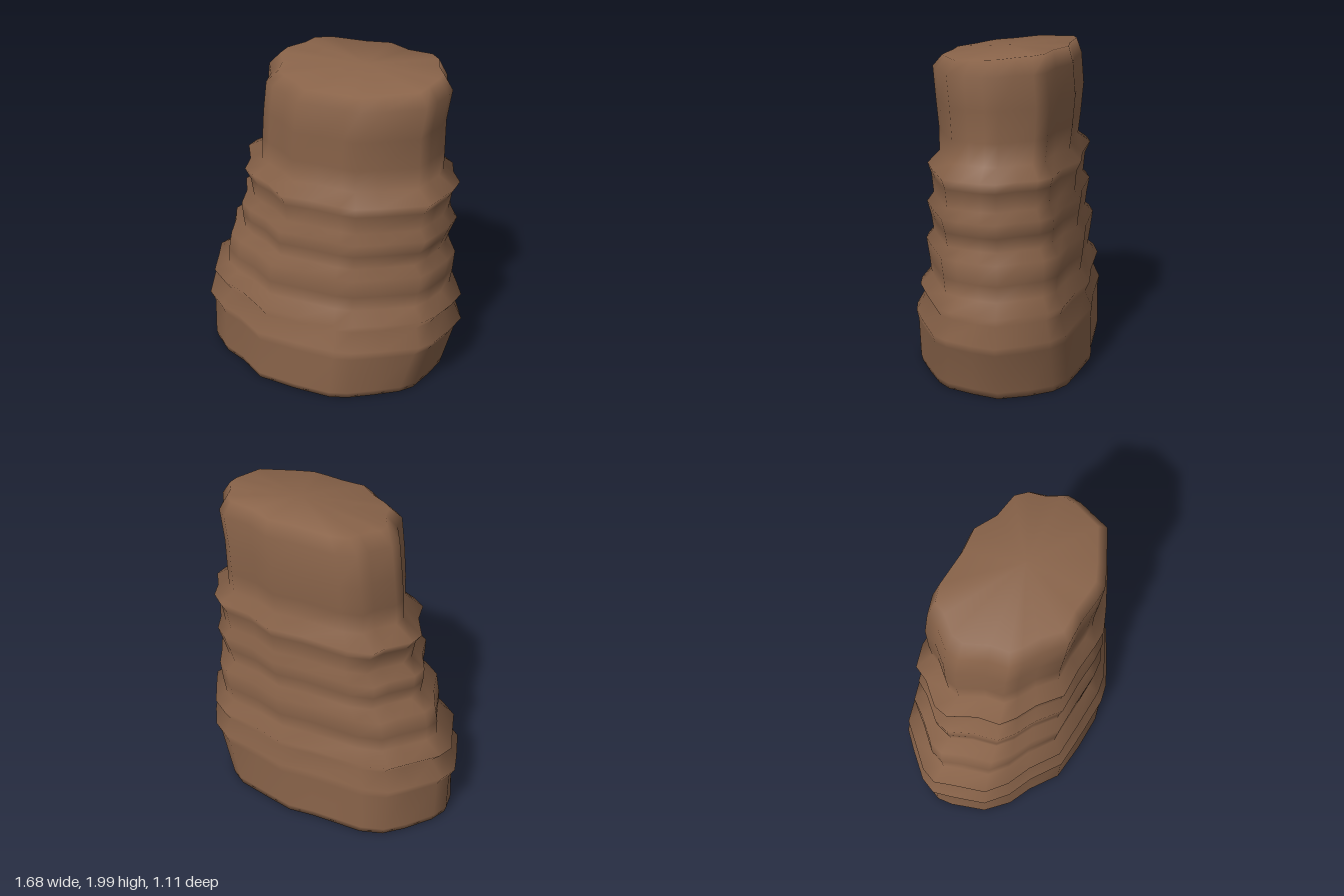
import * as THREE from 'three';

// Plan outlines (x, z pairs), counterclockwise seen from above
const BASE = [.84, 0, .78, -.18, .70, -.32, .60, -.40, .38, -.47, .18, -.53, 0, -.53, -.35, -.56,
  -.5, -.53, -.63, -.44, -.78, -.30, -.84, -.20, -.84, -.10, -.78, .12, -.65, .26, -.5, .34,
  -.32, .48, -.05, .53, .2, .555, .32, .53, .48, .46, .64, .38, .72, .31, .79, .15];
const TOP = [.71, 0, .66, -.1, .64, -.2, .58, -.27, .41, -.31, .27, -.40, .1, -.40, -.15, -.435,
  -.27, -.41, -.31, -.33, -.41, -.23, -.43, -.15, -.37, 0, -.36, .12, -.30, .18, -.2, .25,
  -.1, .36, .05, .37, .2, .40, .28, .41, .4, .37, .62, .28, .66, .18, .70, .08];

// Ledges of the rock: y, xMin, xMax, zMin, zMax
const RINGS = [
  [0, -.80, .72, -.545, .54], [.04, -.81, .73, -.55, .55], [.3, -.81, .80, -.545, .55],
  [.36, -.845, .84, -.555, .56], [.47, -.76, .785, -.51, .50], [.53, -.815, .83, -.54, .53],
  [.6, -.71, .75, -.475, .46], [.7, -.71, .765, -.49, .47], [.825, -.69, .775, -.505, .485],
  [.88, -.59, .71, -.455, .44], [.97, -.605, .74, -.465, .45], [1.06, -.61, .775, -.48, .47],
  [1.115, -.525, .72, -.44, .43], [1.23, -.545, .74, -.45, .44], [1.295, -.585, .78, -.48, .46],
  [1.365, -.465, .68, -.405, .39], [1.5, -.465, .68, -.42, .39], [1.68, -.45, .68, -.435, .405],
  [1.87, -.425, .71, -.42, .415], [1.935, -.35, .65, -.39, .36]];

// Rescale an outline so both axes run from 0 to 1
function unit(outline) {
  const xs = outline.filter((_, i) => i % 2 === 0), zs = outline.filter((_, i) => i % 2);
  const x0 = Math.min(...xs), x1 = Math.max(...xs), z0 = Math.min(...zs), z1 = Math.max(...zs);
  return xs.map((x, i) => [(x - x0) / (x1 - x0), (zs[i] - z0) / (z1 - z0)]);
}

export function createModel() {
  const brown = new THREE.MeshStandardMaterial({ color: 0x8a644a });
  brown.name = 'brown rock';
  const base = unit(BASE), top = unit(TOP), n = base.length;
  const positions = [], index = [];

  // Cross-sections blend from the base outline to the top outline
  RINGS.forEach(([y, x0, x1, z0, z1], r) => {
    const t = Math.min(1, y / 1.37), last = r === RINGS.length - 1;
    for (let i = 0; i < n; i++) {
      const u = THREE.MathUtils.lerp(base[i][0], top[i][0], t);
      const v = THREE.MathUtils.lerp(base[i][1], top[i][1], t);
      const x = x0 + u * (x1 - x0), z = z0 + v * (z1 - z0);
      const tilt = last ? .04 * x - .08 * z + .01 : (.02 * x - .03 * z) * Math.min(1, y);
      positions.push(x, Math.min(2, y + tilt), z);
    }
  });
  for (let r = 0; r < RINGS.length - 1; r++) {
    for (let i = 0; i < n; i++) {
      const a = r * n + i, b = r * n + (i + 1) % n;
      index.push(a, b, b + n, a, b + n, a + n);
    }
  }

  // Fans close the top and the underside
  const topStart = (RINGS.length - 1) * n, topCentre = positions.length / 3;
  positions.push(.2, 1.975, -.02, 0, 0, 0);
  for (let i = 0; i < n; i++) {
    const j = (i + 1) % n;
    index.push(topStart + i, topStart + j, topCentre, j, i, topCentre + 1);
  }

  const geometry = new THREE.BufferGeometry();
  geometry.setAttribute('position', new THREE.Float32BufferAttribute(positions, 3));
  geometry.setIndex(index);
  geometry.computeVertexNormals();

  const rock = new THREE.Mesh(geometry, brown);
  rock.name = 'rockPillar';
  const group = new THREE.Group();
  group.name = 'layeredRock';
  group.add(rock);
  return group;
}
